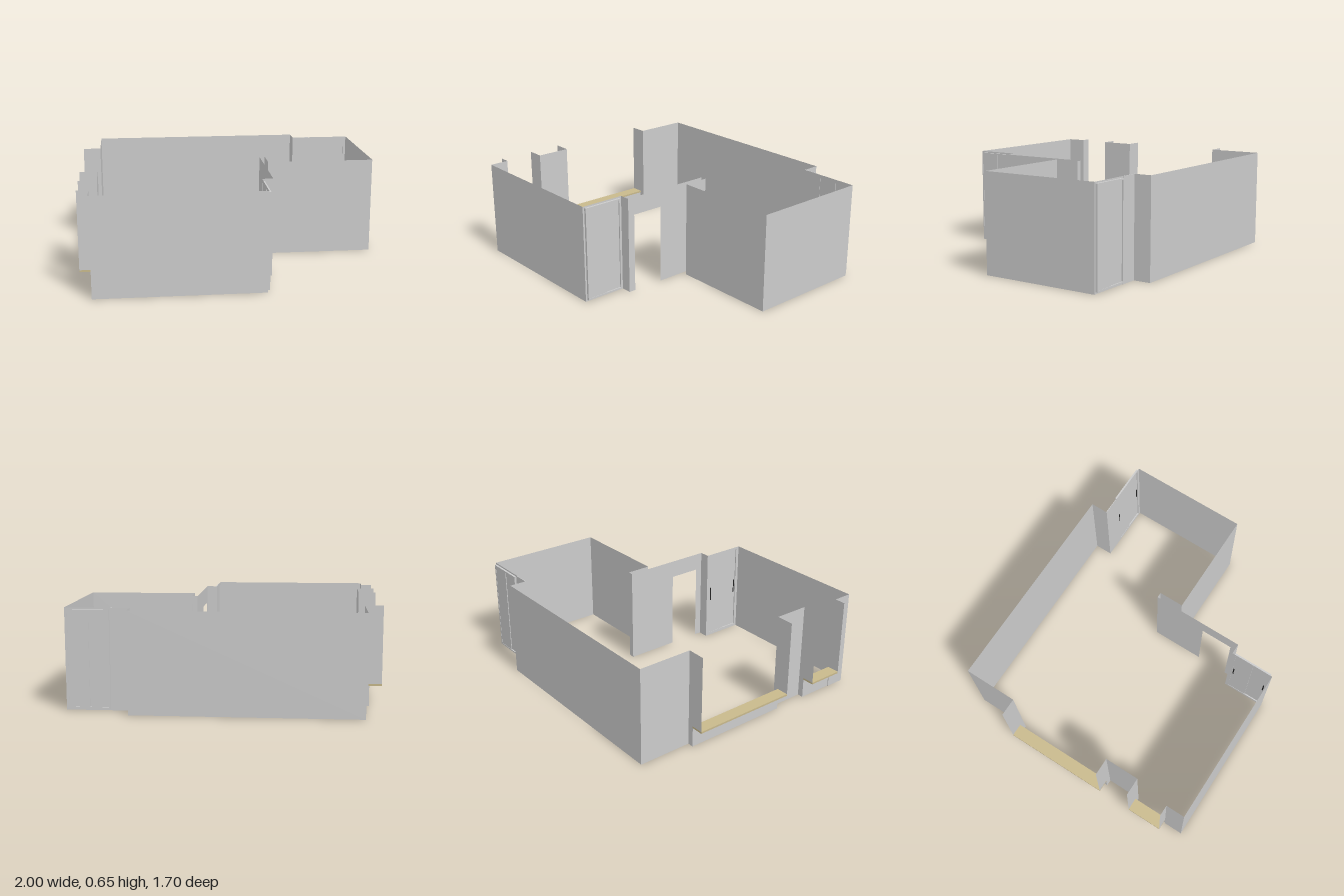
import * as THREE from 'three';

const H = 0.655;        // wall height
const SILL = 0.145;     // top of the window sills
const DOOR = 0.535;     // top of the doorway

const grey = new THREE.MeshStandardMaterial({ color: 0xcccccc, side: THREE.DoubleSide });
const wood = new THREE.MeshStandardMaterial({ color: 0xc8b98c });
const dark = new THREE.MeshStandardMaterial({ color: 0x222222 });

export function createModel() {
  const room = new THREE.Group();
  room.name = 'room';

  // Thin upright wall between two plan points [x, z]
  const wall = (name, [x0, z0], [x1, z1], y0 = 0, y1 = H) => {
    const geo = new THREE.PlaneGeometry(Math.hypot(x1 - x0, z1 - z0), y1 - y0);
    const mesh = new THREE.Mesh(geo, grey);
    mesh.position.set((x0 + x1) / 2, (y0 + y1) / 2, (z0 + z1) / 2);
    mesh.rotation.y = -Math.atan2(z1 - z0, x1 - x0);
    mesh.name = name;
    room.add(mesh);
  };

  const box = (parent, name, mat, [x0, x1], [y0, y1], [z0, z1]) => {
    const mesh = new THREE.Mesh(new THREE.BoxGeometry(x1 - x0, y1 - y0, z1 - z0), mat);
    mesh.position.set((x0 + x1) / 2, (y0 + y1) / 2, (z0 + z1) / 2);
    mesh.name = name;
    parent.add(mesh);
  };

  // Chain of full-height walls through plan points
  const chain = (name, pts) => {
    for (let i = 1; i < pts.length; i++) wall(name, pts[i - 1], pts[i]);
  };

  // Main room: front, back and side walls
  chain('frontWall', [[-0.925, 0.72], [-0.925, 0.85], [0.163, 0.85]]);
  chain('backWall', [[-0.88, -0.485], [-0.88, -0.85], [0.585, -0.85], [0.585, -0.73]]);
  chain('windowPillar', [[-0.88, 0.24], [-0.88, 0.475]]);

  // Alcove: front and left walls, wrapping round the end of the doorway wall
  chain('alcoveWall', [[0.235, 0.28], [0.235, -0.085], [0.272, -0.085],
    [0.272, 0.085], [1, 0.085], [1, -0.73]]);

  // Doorway wall
  chain('doorwayWall', [[0.163, 0.548], [0.235, 0.548], [0.235, 0.5]]);
  wall('doorwayLintel', [0.235, 0.5], [0.235, 0.28], DOOR, H);

  // Windows: sill, wall below, and reveals set back to x = -1
  const windows = [
    { z: [-0.485, 0.24], inner: [-0.88, -0.88] },
    { z: [0.475, 0.72], inner: [-0.88, -0.925] },
  ];
  for (const { z, inner } of windows) {
    wall('wallBelowWindow', [-0.92, z[0]], [-0.92, z[1]], 0, SILL - 0.012);
    box(room, 'windowSill', wood, [-1, -0.915], [SILL - 0.012, SILL], z);
    z.forEach((zr, i) => {
      wall('windowReveal', [-1, zr], [inner[i], zr], SILL, H);
      wall('lowerReveal', [-0.92, zr], [inner[i], zr], 0, SILL);
    });
  }

  // Sliding closet doors: surround, frame, two overlapping panels and flush pulls.
  // Local x runs along the wall, +z faces into the room.
  const closet = (name, w, a, b) => {
    const g = new THREE.Group();
    g.name = name;
    const lo = 0.012, hi = H - 0.01, depth = 0.015, t = 0.01;
    const rect = (P, x0, y0, x1, y1) => {
      const p = new P();
      p.moveTo(x0, y0); p.lineTo(x1, y0); p.lineTo(x1, y1); p.lineTo(x0, y1);
      p.closePath();
      return p;
    };
    const surround = rect(THREE.Shape, 0, 0, w, H);
    surround.holes.push(rect(THREE.Path, a, lo, b, hi));
    const ring = new THREE.Mesh(new THREE.ShapeGeometry(surround), grey);
    ring.name = 'closetSurround';
    g.add(ring);
    for (const x of [a, b - t]) box(g, 'frameSide', grey, [x, x + t], [lo, hi], [-depth, 0]);
    for (const y of [lo, hi - t]) box(g, 'frameRail', grey, [a + t, b - t], [y, y + t], [-depth, 0]);
    const m = (a + b) / 2;
    box(g, 'slidingPanel', grey, [a + t, m + 0.006], [lo + t, hi - t], [-0.007, -0.002]);
    box(g, 'slidingPanel', grey, [m - 0.006, b - t], [lo + t, hi - t], [-0.013, -0.008]);
    box(g, 'doorPull', dark, [a + 0.016, a + 0.024], [0.29, 0.39], [-0.004, -0.001]);
    box(g, 'doorPull', dark, [b - 0.024, b - 0.016], [0.29, 0.39], [-0.009, -0.006]);
    room.add(g);
    return g;
  };

  const frontCloset = closet('frontCloset', 0.302, 0.017, 0.29);
  frontCloset.position.set(0.163, 0, 0.548);
  frontCloset.rotation.y = -Math.PI / 2;

  const backCloset = closet('backCloset', 0.295, 0.01, 0.285);
  backCloset.position.set(0.705, 0, -0.73);

  // Short thin wall beside the back closet
  box(room, 'closetSideWall', grey, [0.585, 0.705], [0, H], [-0.734, -0.73]);

  return room;
}
